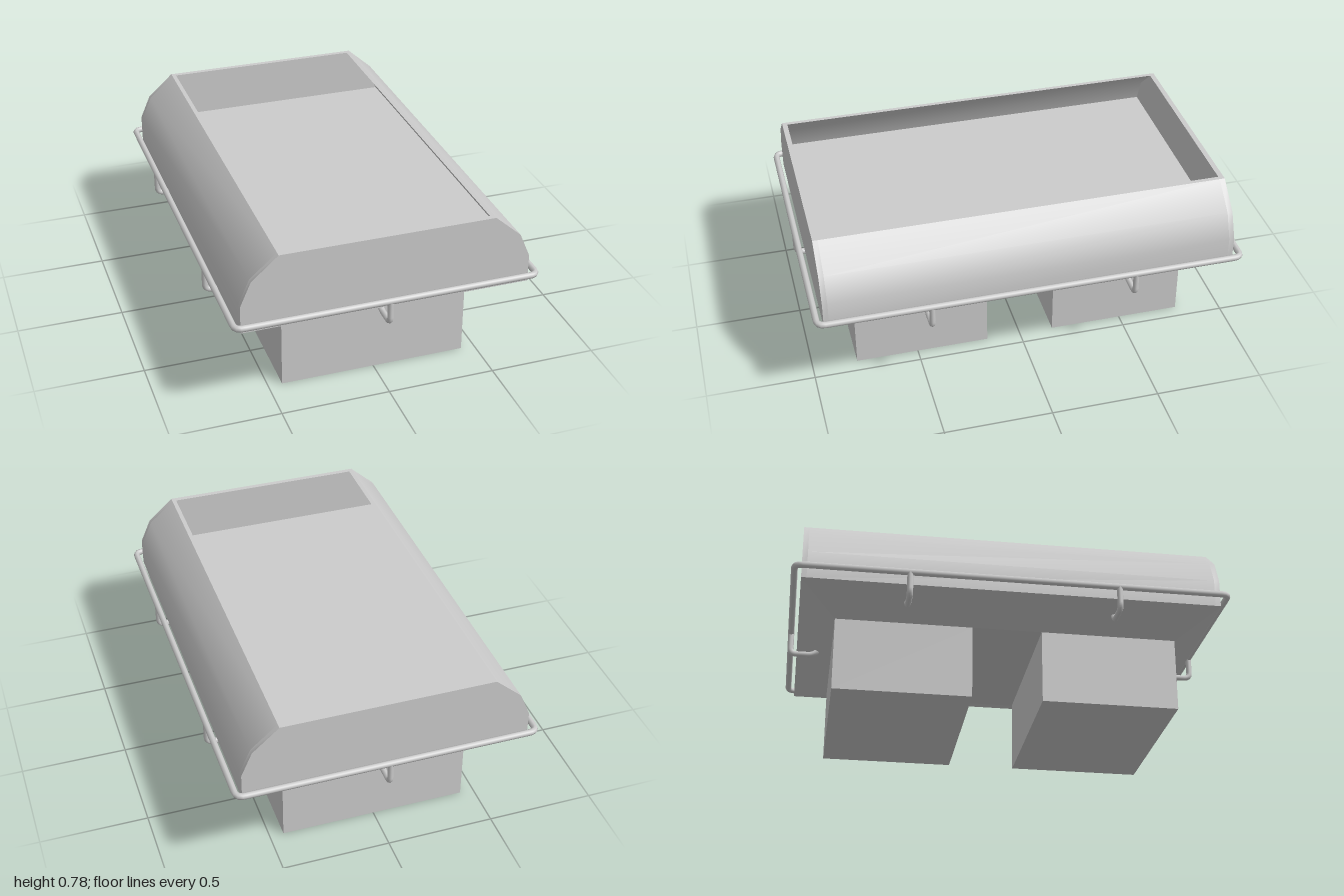
import * as THREE from 'three';
import { toCreasedNormals } from 'three/addons/utils/BufferGeometryUtils.js';

const material = new THREE.MeshStandardMaterial({ color: 0xcccccc });

function addMesh(parent, name, geometry) {
  const mesh = new THREE.Mesh(geometry, material);
  mesh.name = name;
  parent.add(mesh);
  return mesh;
}

// Extrude a mirrored cross-section (right half given) along z
function extrudeProfile(points, z0, length) {
  const shape = new THREE.Shape(points.map(([x, y]) => new THREE.Vector2(x, y)));
  const geometry = new THREE.ExtrudeGeometry(shape, { depth: length, bevelEnabled: false });
  geometry.translate(0, 0, z0);
  return toCreasedNormals(geometry, 0.6);
}

// Round bar through the given points, with its corners rounded
function bentBar(points, bend, radius, segments, closed = false) {
  const path = new THREE.CurvePath();
  const p = points.map((q) => new THREE.Vector3(...q));
  let from = p[0];
  for (let i = 1; i < p.length - 1; i++) {
    const before = p[i].clone().add(p[i - 1].clone().sub(p[i]).setLength(bend));
    const after = p[i].clone().add(p[i + 1].clone().sub(p[i]).setLength(bend));
    path.add(new THREE.LineCurve3(from, before));
    path.add(new THREE.QuadraticBezierCurve3(before, p[i], after));
    from = after;
  }
  path.add(new THREE.LineCurve3(from, p[p.length - 1]));
  path.arcLengthDivisions = 800;
  return new THREE.TubeGeometry(path, segments, radius, 8, closed);
}

export function createModel() {
  const model = new THREE.Group();
  model.name = 'planterBed';

  // Hollow trough: outer wall profile, inner wall profile and floor
  const outer = [[0.662, 0.425], [0.662, 0.555], [0.612, 0.67], [0.49, 0.777]];
  const inner = [[0.47, 0.777], [0.594, 0.664], [0.64, 0.55]];
  const mirror = (pts) => pts.map(([x, y]) => [-x, y]).reverse();
  const half = [...outer, ...inner];
  addMesh(model, 'trough', extrudeProfile([...half, ...mirror(half)], -0.93, 1.86));

  // End walls closing the trough
  const endProfile = [...outer, ...mirror(outer)];
  addMesh(model, 'frontWall', extrudeProfile(endProfile, 0.93, 0.024));
  addMesh(model, 'backWall', extrudeProfile(endProfile, -0.954, 0.024));

  // Underside tapering in towards the feet
  const taper = new THREE.BoxGeometry(1.324, 0.08, 1.908).toNonIndexed();
  const pos = taper.attributes.position;
  for (let i = 0; i < pos.count; i++) {
    if (pos.getY(i) < 0) {
      pos.setX(i, Math.sign(pos.getX(i)) * 0.435);
      pos.setZ(i, Math.sign(pos.getZ(i)) * 0.79);
    }
  }
  taper.computeVertexNormals();
  addMesh(model, 'underside', taper).position.y = 0.385;

  // Two block feet
  for (const s of [1, -1]) {
    const foot = addMesh(model, s > 0 ? 'frontFoot' : 'backFoot', new THREE.BoxGeometry(0.87, 0.345, 0.63));
    foot.position.set(0, 0.1725, s * 0.476);
  }

  // Rail running round the trough
  const x = 0.694, z = 0.985, y = 0.47, r = 0.015;
  addMesh(model, 'rail', bentBar(
    [[0, y, z], [x, y, z], [x, y, -z], [-x, y, -z], [-x, y, z], [0, y, z]], 0.035, r, 400, true));

  // Hooked brackets joining the rail to the underside
  const hook = bentBar([[0, 0.47, 0], [0, 0.36, 0], [0, 0.36, -0.115], [0, 0.41, -0.15]], 0.03, 0.014, 40);
  const hooks = [
    [0, z, 0], [0, -z, Math.PI],
    [x, 0.475, Math.PI / 2], [x, -0.475, Math.PI / 2],
    [-x, 0.475, -Math.PI / 2], [-x, -0.475, -Math.PI / 2],
  ];
  for (const [hx, hz, angle] of hooks) {
    const bracket = addMesh(model, 'railBracket', hook);
    bracket.position.set(hx, 0, hz);
    bracket.rotation.y = angle;
  }

  return model;
}
